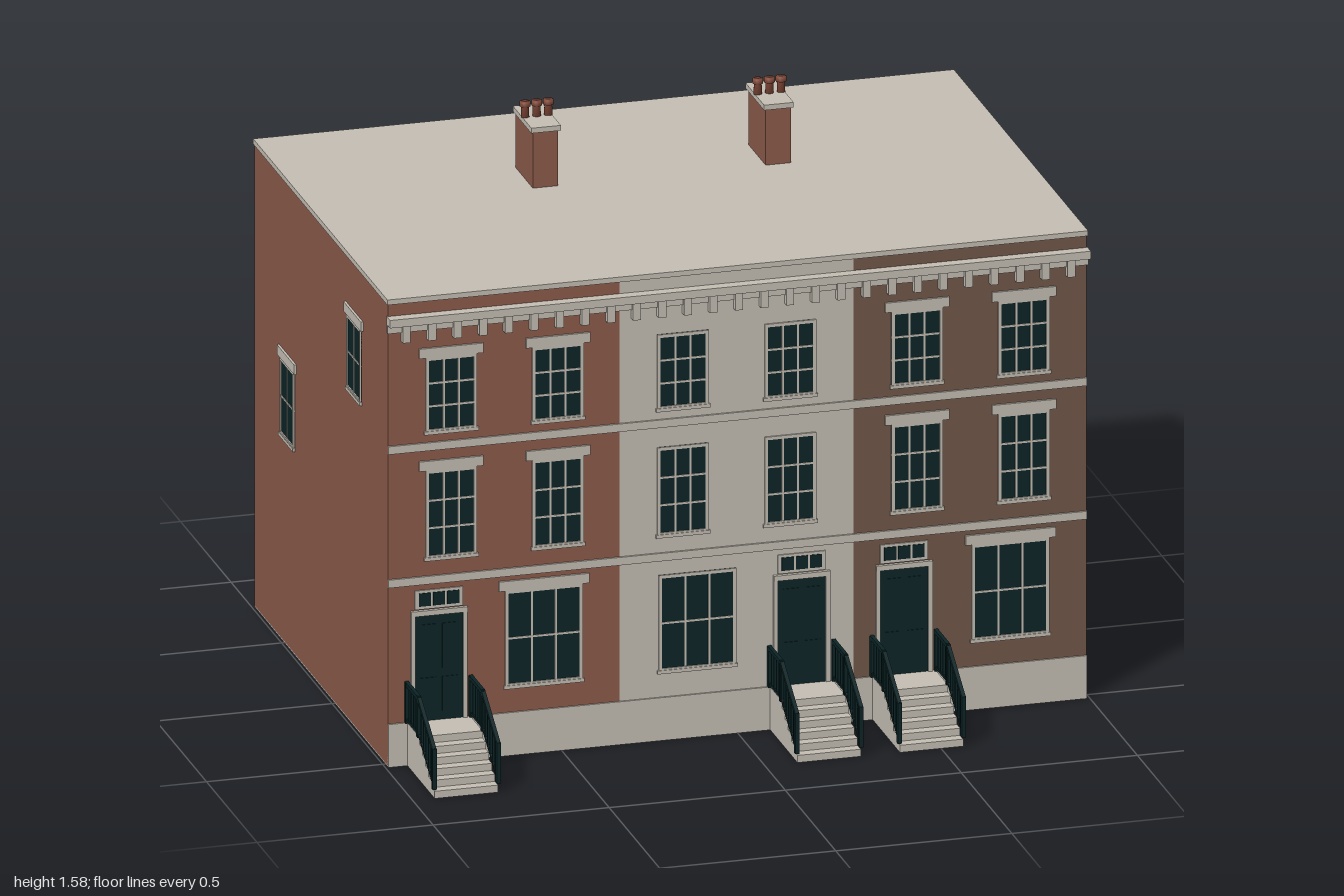
import * as THREE from 'three';

const mat = (name, color) => {
  const m = new THREE.MeshStandardMaterial({ color });
  m.name = name;
  return m;
};

export function createModel() {
  const stone = mat('pale stone', 0xc4beb4);
  const red = mat('red brick', 0x8b5a4a);
  const brown = mat('brown brick', 0x715749);
  const dark = mat('dark glass and paint', 0x0c2426);
  const clay = mat('clay pot', 0x7c4535);

  const model = new THREE.Group();
  model.name = 'terracedHouses';

  // Box given by its limits on each axis
  function box(parent, name, material, x0, x1, y0, y1, z0, z1) {
    const mesh = new THREE.Mesh(new THREE.BoxGeometry(x1 - x0, y1 - y0, z1 - z0), material);
    mesh.position.set((x0 + x1) / 2, (y0 + y1) / 2, (z0 + z1) / 2);
    mesh.name = name;
    parent.add(mesh);
    return mesh;
  }
  function group(name, parent = model) {
    const g = new THREE.Group();
    g.name = name;
    parent.add(g);
    return g;
  }

  const W = 0.992, FRONT = 0.525, BACK = -0.796;

  // Three houses, stone plinth and flat roof
  box(model, 'redHouse', red, -W, -0.335, 0.004, 1.345, BACK, FRONT);
  box(model, 'stoneHouse', stone, -0.335, 0.33, 0.004, 1.345, BACK, FRONT);
  box(model, 'brownHouse', brown, 0.33, W, 0.004, 1.345, BACK, FRONT);
  box(model, 'floor', stone, -W, W, 0, 0.004, BACK, FRONT);
  box(model, 'plinth', stone, -W, W, 0, 0.125, FRONT - 0.005, FRONT + 0.005);
  box(model, 'roof', stone, -0.995, 0.995, 1.345, 1.36, -0.799, 0.53);

  // String courses
  for (const y of [0.522, 0.91]) {
    box(model, 'stringCourse', stone, -W, W, y, y + 0.023, FRONT - 0.005, FRONT + 0.006);
  }

  // Cornice with a row of brackets
  const cornice = group('cornice');
  box(cornice, 'corniceShelf', stone, -0.995, 0.995, 1.287, 1.31, FRONT - 0.005, 0.557);
  box(cornice, 'corniceFrieze', stone, -0.995, 0.995, 1.262, 1.287, FRONT - 0.005, 0.533);
  for (let i = 0; i < 27; i++) {
    const x = -0.944 + i * 0.0726;
    box(cornice, 'corniceBracket', stone, x - 0.011, x + 0.011, 1.235, 1.287, FRONT - 0.005, 0.545);
  }

  // Window facing local +z; y0 and y1 bound the outer frame
  function makeWindow(w, y0, y1, cols, rows, lintel) {
    const g = group('window');
    const h = w / 2, f = 0.009, b = 0.0028;
    box(g, 'glass', dark, -h, h, y0, y1, -0.003, 0.0015);
    for (const s of [-1, 1]) {
      const x = s * (h - f / 2);
      box(g, 'frameSide', stone, x - f / 2, x + f / 2, y0, y1, -0.003, 0.005);
    }
    for (const y of [y0, y1 - f]) box(g, 'frameRail', stone, -h, h, y, y + f, -0.003, 0.005);
    for (let i = 1; i < cols; i++) {
      const x = -h + f + ((w - 2 * f) * i) / cols;
      box(g, 'glazingBar', stone, x - b, x + b, y0, y1, -0.003, 0.0035);
    }
    for (let i = 1; i < rows; i++) {
      const y = y0 + f + ((y1 - y0 - 2 * f) * i) / rows;
      box(g, 'glazingBar', stone, -h, h, y - b, y + b, -0.003, 0.0035);
    }
    box(g, 'sill', stone, -h - 0.004, h + 0.004, y0 - 0.006, y0 + 0.004, -0.003, 0.007);
    if (lintel) box(g, 'lintel', stone, -h - 0.018, h + 0.018, y1, y1 + 0.028, -0.003, 0.007);
    return g;
  }

  // Upper windows, front and back
  const floors = [[0.595, 0.852], [0.962, 1.18]];
  for (const x of [-0.813, -0.51, -0.155, 0.15, 0.51, 0.813]) {
    for (const [y0, y1] of floors) {
      makeWindow(0.146, y0, y1, 3, 3, Math.abs(x) > 0.33).position.set(x, 0, FRONT);
      const rear = makeWindow(0.146, y0, y1 - (y1 < 1 ? 0.025 : 0), 2, 2, true);
      rear.position.set(x, 0, BACK);
      rear.rotation.y = Math.PI;
    }
  }

  // Ground floor windows
  makeWindow(0.22, 0.2, 0.48, 3, 2, true).position.set(-0.55, 0, FRONT);
  makeWindow(0.22, 0.2, 0.48, 3, 2, false).position.set(-0.114, 0, FRONT);
  makeWindow(0.22, 0.2, 0.48, 3, 2, true).position.set(0.775, 0, FRONT);
  for (const x of [-0.66, 0, 0.66]) {
    const rear = makeWindow(0.42, 0.19, 0.425, 4, 2, true);
    rear.position.set(x, 0, BACK);
    rear.rotation.y = Math.PI;
  }

  // Side windows, staggered opposite ways on the two end walls
  for (const s of [1, -1]) {
    const low = makeWindow(0.136, 0.598, 0.822, 2, 2, true);
    const high = makeWindow(0.136, 0.965, 1.18, 2, 2, true);
    low.position.set(s * W, 0, s > 0 ? 0.195 : -0.465);
    high.position.set(s * W, 0, s > 0 ? -0.465 : 0.195);
    low.rotation.y = high.rotation.y = (s * Math.PI) / 2;
  }

  // Front door with a three-pane fanlight
  function makeDoor(x) {
    const g = group('door');
    box(g, 'doorLeaf', dark, -0.068, 0.068, 0.125, 0.432, -0.003, 0.003);
    for (const s of [-1, 1]) {
      const c = s * 0.074;
      box(g, 'doorPost', stone, c - 0.006, c + 0.006, 0.125, 0.432, -0.003, 0.008);
      for (const [y0, y1] of [[0.15, 0.25], [0.275, 0.405]]) {
        box(g, 'doorPanel', dark, s * 0.031 - 0.022, s * 0.031 + 0.022, y0, y1, 0, 0.005);
      }
    }
    box(g, 'doorHead', stone, -0.08, 0.08, 0.432, 0.447, -0.003, 0.01);
    box(g, 'fanlightFrame', stone, -0.068, 0.068, 0.45, 0.505, -0.003, 0.004);
    for (const i of [-1, 0, 1]) {
      box(g, 'fanlightPane', dark, i * 0.04 - 0.017, i * 0.04 + 0.017, 0.459, 0.497, 0, 0.006);
    }
    g.position.set(x, 0, FRONT);
  }

  // Straight bar between two (y, z) points
  function bar(parent, name, x, y0, z0, y1, z1, t) {
    const len = Math.hypot(y1 - y0, z1 - z0);
    const mesh = new THREE.Mesh(new THREE.BoxGeometry(t, t, len), dark);
    mesh.position.set(x, (y0 + y1) / 2, (z0 + z1) / 2);
    mesh.rotation.x = -Math.atan2(y1 - y0, z1 - z0);
    mesh.name = name;
    parent.add(mesh);
  }

  // Entrance steps with iron railings
  function makeSteps(x) {
    const g = group('entranceSteps');
    const profile = new THREE.Shape();
    profile.moveTo(FRONT, 0);
    profile.lineTo(FRONT, 0.125);
    for (let i = 0; i < 6; i++) {
      const z = 0.647 + i * 0.0306;
      profile.lineTo(z, 0.125 - i * 0.0208);
      profile.lineTo(z, i < 5 ? 0.125 - (i + 1) * 0.0208 : 0);
    }
    const steps = new THREE.Mesh(
      new THREE.ExtrudeGeometry(profile, { depth: 0.18, bevelEnabled: false }), stone);
    steps.rotation.y = -Math.PI / 2;
    steps.position.x = 0.09;
    steps.name = 'steps';
    g.add(steps);

    for (const s of [-1, 1]) {
      const r = group('railing', g), rx = s * 0.091, mid = 0.647, end = 0.798;
      const drop = z => Math.max(0, z - mid) * 0.65;
      for (const [y, t] of [[0.239, 0.011], [0.136, 0.007]]) {
        bar(r, 'rail', rx, y, FRONT, y, mid, t);
        bar(r, 'rail', rx, y, mid, y - drop(end), end, t);
      }
      for (const z of [0.531, mid, end]) {
        box(r, 'railingPost', dark, rx - 0.006, rx + 0.006,
          0.125 - drop(z), 0.243 - drop(z), z - 0.006, z + 0.006);
      }
      for (let i = 1; i < 11; i++) {
        const z = 0.531 + (i * (end - 0.531)) / 11;
        box(r, 'baluster', dark, rx - 0.003, rx + 0.003,
          0.136 - drop(z), 0.238 - drop(z), z - 0.003, z + 0.003);
      }
    }
    g.position.x = x;
  }
  for (const x of [-0.848, 0.182, 0.473]) {
    makeDoor(x);
    makeSteps(x);
  }

  // Chimney stacks, each with three pots
  const potProfile = [[0, 0], [0.012, 0], [0.011, 0.03], [0.015, 0.032], [0.015, 0.045], [0, 0.045]]
    .map(([r, y]) => new THREE.Vector2(r, y));
  for (const x of [-0.333, 0.328]) {
    const g = group('chimney');
    box(g, 'chimneyStack', red, -0.036, 0.036, 1.355, 1.523, -0.383, -0.212);
    box(g, 'chimneyCap', stone, -0.042, 0.042, 1.522, 1.537, -0.39, -0.206);
    for (const i of [-1, 0, 1]) {
      const pot = new THREE.Mesh(new THREE.LatheGeometry(potProfile, 12), clay);
      pot.position.set(i * 0.033, 1.536, -0.3);
      pot.name = 'chimneyPot';
      g.add(pot);
    }
    g.position.x = x;
  }

  return model;
}
